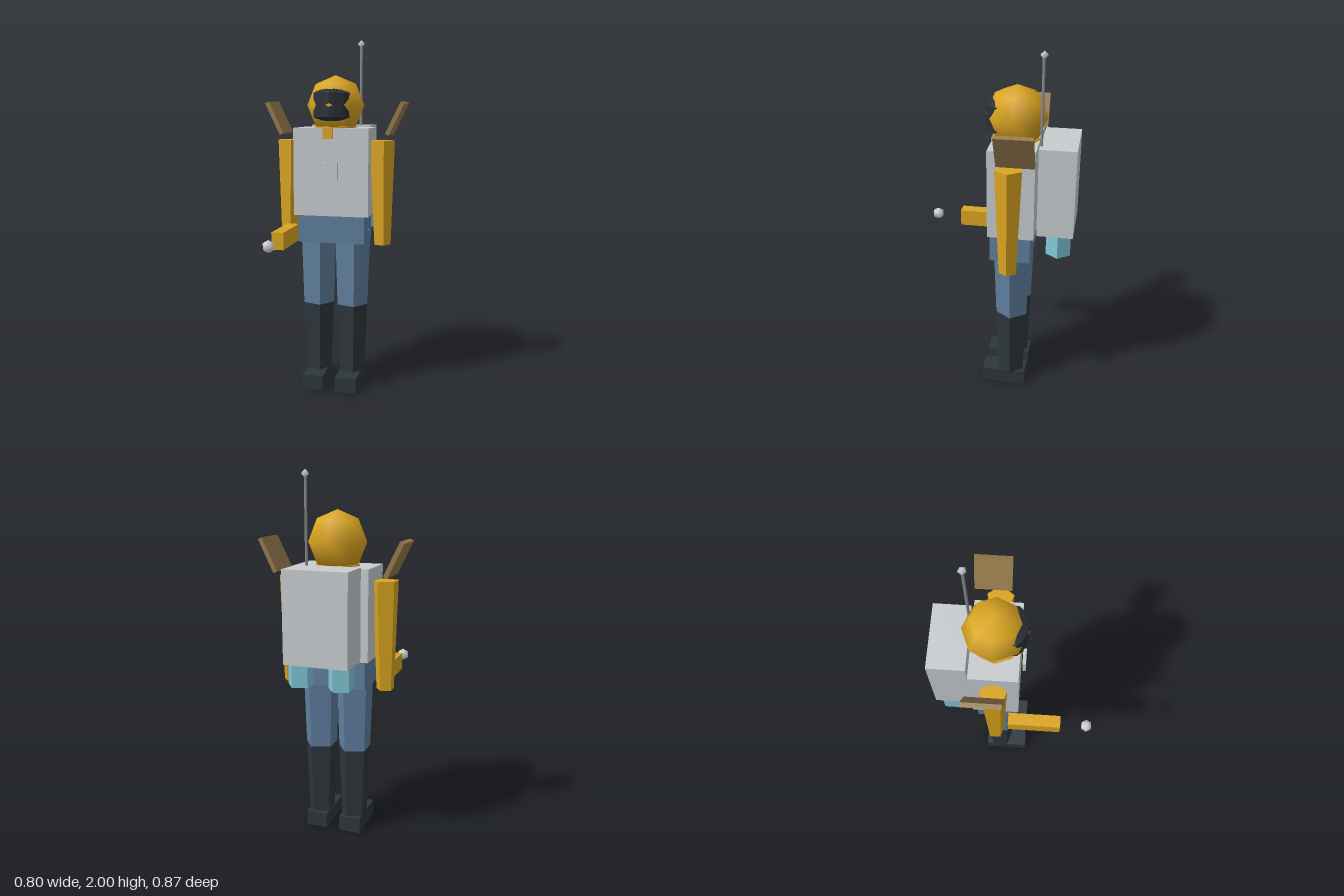
import * as THREE from 'three';

const mat = (name, color, side = THREE.FrontSide) => {
  const m = new THREE.MeshStandardMaterial({ color, side });
  m.name = name;
  return m;
};

export function createModel() {
  const gold = mat('gold', 0xdaa520);
  const denim = mat('denim blue', 0x5f7f9f);
  const boot = mat('boot black', 0x2d363c);
  const grey = mat('light grey', 0xc8cccf);
  const brown = mat('brown', 0x967a4c);
  const dark = mat('visor black', 0x2a3037, THREE.DoubleSide);
  const cyan = mat('pale cyan', 0x82c8da);
  const silver = mat('silver', 0xd2d4d6);
  const steel = mat('steel', 0x8a8d90);

  const model = new THREE.Group();
  model.name = 'jetpackFigure';
  const Z = -0.104; // body axis depth

  const add = (name, geometry, material, x, y, z) => {
    const mesh = new THREE.Mesh(geometry, material);
    mesh.name = name;
    mesh.position.set(x, y, z);
    model.add(mesh);
    return mesh;
  };
  const box = (name, material, w, h, d, x, y, z) =>
    add(name, new THREE.BoxGeometry(w, h, d), material, x, y, z);
  const faceted = (g) => {
    const flat = g.toNonIndexed();
    flat.computeVertexNormals();
    return flat;
  };
  // five-sided tapered limb with one corner facing +x
  const limb = (name, material, rTop, rBottom, yTop, yBottom, x, z) => {
    const g = new THREE.CylinderGeometry(rTop, rBottom, yTop - yBottom, 5).rotateY(Math.PI / 2);
    return add(name, faceted(g), material, x, (yTop + yBottom) / 2, z);
  };

  // torso and waist
  box('torso', grey, 0.426, 0.49, 0.25, 0, 1.265, -0.105);
  box('waist', denim, 0.38, 0.16, 0.22, 0, 0.945, -0.1);
  box('chestPanel', grey, 0.09, 0.095, 0.018, 0, 1.273, 0.039);

  // collar scarf and its hanging end
  add('scarf', new THREE.CylinderGeometry(0.125, 0.125, 0.03, 8), gold, 0, 1.502, Z);
  box('scarfEnd', gold, 0.058, 0.06, 0.02, -0.013, 1.482, 0.02);

  // head
  add('head', new THREE.SphereGeometry(0.165, 8, 4), gold, 0, 1.635, Z);

  // visor: a curved shell that just breaks through the front of the head
  const cols = [[-0.105, -0.04], [-0.1, 0.006], [-0.075, 0.032], [-0.03, 0.0505], [0, 0.057],
    [0.03, 0.0505], [0.075, 0.032], [0.1, 0.006], [0.105, -0.04]];
  const rows = [[0.091, -0.09, 0.6], [0.088, -0.035, 0.68], [0.065, 0, 1],
    [-0.065, 0, 1], [-0.088, -0.035, 0.68], [-0.091, -0.09, 0.6]];
  const shell = new THREE.PlaneGeometry(1, 1, cols.length - 1, rows.length - 1);
  rows.forEach(([dy, dz, s], r) => cols.forEach(([x, z], c) =>
    shell.attributes.position.setXYZ(r * cols.length + c, x * s, dy, z + dz)));
  add('visor', faceted(shell), dark, 0, 1.635, 0);

  // arms, shoulder flaps, legs, boots and thrusters on both sides
  for (const [side, s] of [['left', 1], ['right', -1]]) {
    const arm = limb(side + 'Arm', gold, 0.074, 0.049, 1.44, 0.85, s * 0.27, Z);
    arm.rotation.z = s * 0.015;
    const flap = box(side + 'ShoulderFlap', brown, 0.024, 0.195, 0.195, s * 0.345, 1.562, -0.142);
    flap.rotation.z = -s * 0.45;
    limb(side + 'Thigh', denim, 0.106, 0.092, 0.93, 0.49, s * 0.1, Z);
    limb(side + 'Shin', boot, 0.092, 0.075, 0.49, 0.08, s * 0.1, Z);
    box(side + 'Foot', boot, 0.123, 0.087, 0.253, s * 0.098, 0.0435, -0.063);
    limb(side + 'Thruster', cyan, 0.07, 0.07, 1.035, 0.905, s * 0.113, -0.357);
  }

  // right forearm reaching forward, with a floating ball
  box('rightForearm', gold, 0.068, 0.095, 0.292, -0.235, 0.912, 0.111);
  add('ball', new THREE.SphereGeometry(0.035, 6, 3), silver, -0.235, 0.913, 0.405);

  // backpack and antenna
  box('backpack', grey, 0.352, 0.49, 0.195, 0, 1.275, -0.339);
  add('antennaRod', new THREE.CylinderGeometry(0.008, 0.008, 0.46, 5), steel, 0.118, 1.75, -0.249);
  add('antennaTip', new THREE.SphereGeometry(0.022, 5, 2), silver, 0.118, 1.979, -0.249);

  return model;
}
